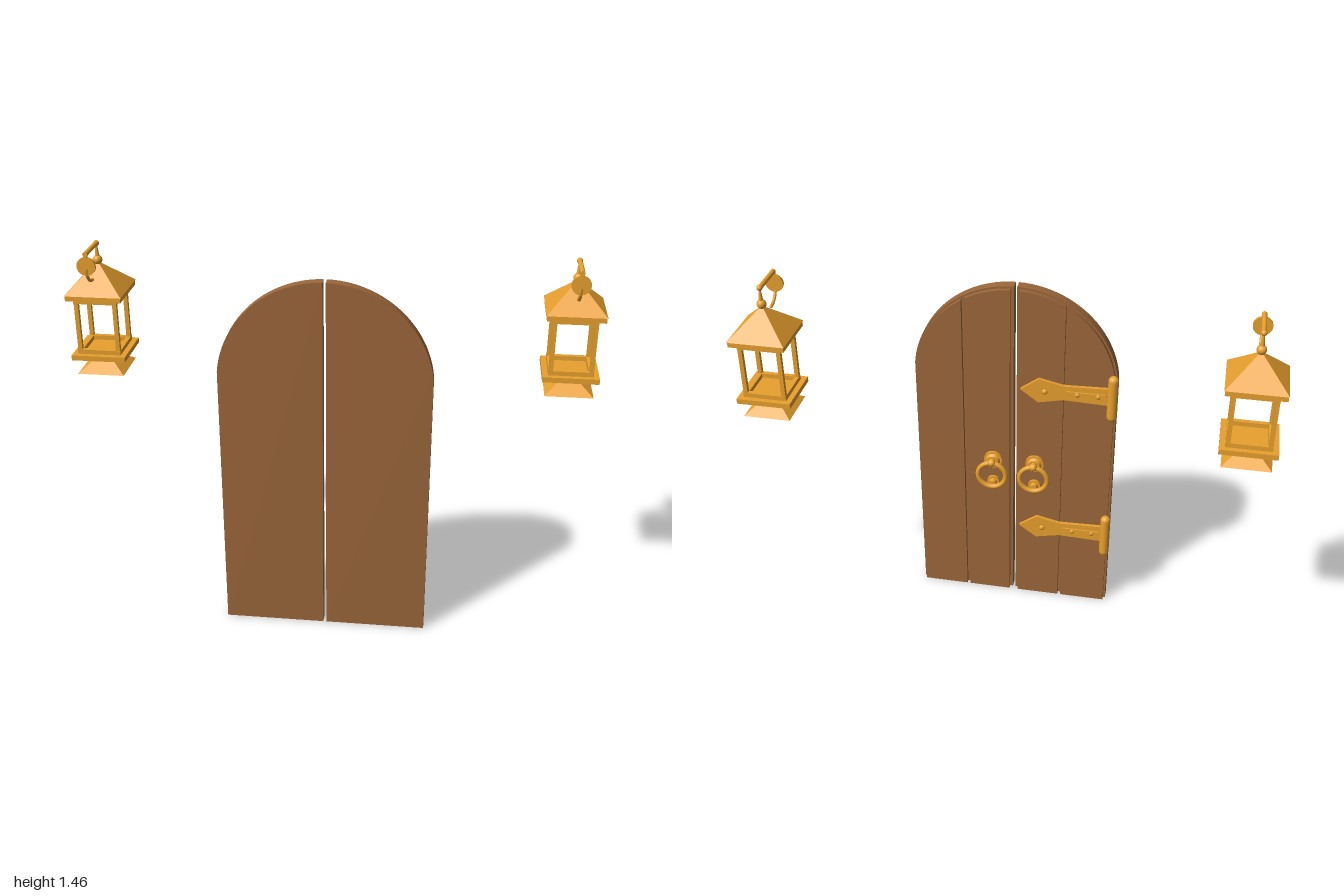
import * as THREE from 'three';

const wood = new THREE.MeshStandardMaterial({ color: 0x9c673b });
const brass = new THREE.MeshStandardMaterial({ color: 0xe8a02e });
const brassFlat = new THREE.MeshStandardMaterial({ color: 0xe8a02e, flatShading: true });

function add(parent, name, geometry, material, x = 0, y = 0, z = 0) {
  const mesh = new THREE.Mesh(geometry, material);
  mesh.name = name;
  mesh.position.set(x, y, z);
  parent.add(mesh);
  return mesh;
}

const box = (w, h, d) => new THREE.BoxGeometry(w, h, d);
const ball = (r) => new THREE.SphereGeometry(r, 20, 14);
// Round part with its axis along z
const disc = (r1, r2, depth) => new THREE.CylinderGeometry(r1, r2, depth, 28).rotateX(Math.PI / 2);
// Square pyramid, given half widths at top and bottom
const pyramid = (top, bottom, h) =>
  new THREE.CylinderGeometry(top * Math.SQRT2, bottom * Math.SQRT2, h, 4).rotateY(Math.PI / 4);

// Vertical board from x0 to x1 whose top follows the door arch
function archBoard(x0, x1, radius, depth) {
  const centreY = 1.03, steps = 28;
  const shape = new THREE.Shape();
  shape.moveTo(x0, 0);
  shape.lineTo(x1, 0);
  const a0 = Math.acos(x1 / radius), a1 = Math.acos(x0 / radius);
  for (let i = 0; i <= steps; i++) {
    const a = a0 + (a1 - a0) * i / steps;
    shape.lineTo(radius * Math.cos(a), centreY + radius * Math.sin(a));
  }
  shape.closePath();
  return new THREE.ExtrudeGeometry(shape, { depth, bevelEnabled: false });
}

// One door leaf: arched slab with two raised planks on the back
function doorLeaf(side) {
  const leaf = new THREE.Group();
  leaf.name = side > 0 ? 'leftDoorLeaf' : 'rightDoorLeaf';
  const board = (name, a, b, r, z, d) =>
    add(leaf, name, archBoard(Math.min(a * side, b * side), Math.max(a * side, b * side), r, d), wood, 0, 0, z);
  board('doorSlab', 0.006, 0.393, 0.395, 0.152, 0.04);
  board('innerPlank', 0.018, 0.19, 0.387, 0.135, 0.017);
  board('outerPlank', 0.203, 0.385, 0.387, 0.135, 0.017);
  return leaf;
}

// Ring pull with its upper boss and lower striking plate
function knocker(x) {
  const g = new THREE.Group();
  g.name = 'ringPull';
  add(g, 'boss', disc(0.037, 0.037, 0.01), brass, 0, 0.668, 0.13);
  add(g, 'bossStep', disc(0.03, 0.022, 0.012), brass, 0, 0.668, 0.12);
  add(g, 'stem', disc(0.011, 0.011, 0.026), brass, 0, 0.672, 0.106);
  add(g, 'bossBall', ball(0.016), brass, 0, 0.672, 0.098);
  add(g, 'ring', new THREE.TorusGeometry(0.056, 0.01, 12, 40), brass, 0, 0.613, 0.099);
  add(g, 'strikeBase', disc(0.025, 0.025, 0.01), brass, 0, 0.563, 0.13);
  add(g, 'strikeStud', disc(0.016, 0.012, 0.016), brass, 0, 0.563, 0.118);
  g.position.x = x;
  return g;
}

// Spear-shaped strap hinge with barrel and rivets
function hinge(y) {
  const g = new THREE.Group();
  g.name = 'strapHinge';
  const half = [[-0.025, 0], [-0.095, 0.051], [-0.19, 0.03], [-0.375, 0.036]];
  const outline = [...half, ...half.slice(1).reverse().map(([x, v]) => [x, -v])];
  const strap = new THREE.Shape(outline.map(([x, v]) => new THREE.Vector2(x, v)));
  add(g, 'strap', new THREE.ExtrudeGeometry(strap, { depth: 0.015, bevelEnabled: false }), brass, 0, 0, 0.121);
  add(g, 'strapRib', box(0.15, 0.024, 0.008), brass, -0.28, 0, 0.119);
  for (const x of [-0.12, -0.245, -0.325]) {
    const rivet = add(g, 'rivet', ball(0.011), brass, x, 0, 0.119);
    rivet.scale.z = 0.7;
  }
  add(g, 'barrel', new THREE.CapsuleGeometry(0.02, 0.155, 8, 20), brass, -0.38, 0, 0.116);
  g.position.y = y;
  return g;
}

// Open square lantern hanging from a scrolled wall bracket
function lantern(x) {
  const g = new THREE.Group();
  g.name = 'lantern';

  // Bracket: local z = 0 is the lantern axis
  add(g, 'wallDisc', disc(0.035, 0.035, 0.01), brass, 0, 1.405, 0.138);
  add(g, 'bracketUpright', box(0.014, 0.06, 0.01), brass, 0, 1.425, 0.138);
  add(g, 'bracketBar', disc(0.009, 0.009, 0.145), brass, 0, 1.45, 0.07);
  add(g, 'bracketTip', ball(0.011), brass, 0, 1.45, 0);
  const arc = [];
  for (let i = 0; i <= 8; i++) {
    const a = i / 8 * Math.PI / 2;
    arc.push(new THREE.Vector3(0, 1.395 - 0.06 * Math.sin(a), 0.08 + 0.062 * Math.cos(a)));
  }
  add(g, 'bracketScroll', new THREE.TubeGeometry(new THREE.CatmullRomCurve3(arc), 20, 0.006, 10), brass);
  add(g, 'scrollEnd', ball(0.006), brass, 0, 1.335, 0.08);

  // Hanger and roof
  add(g, 'hangerRod', new THREE.CylinderGeometry(0.003, 0.009, 0.05, 14), brass, 0, 1.42);
  add(g, 'roofBall', ball(0.018), brass, 0, 1.386);
  add(g, 'roof', pyramid(0.005, 0.109, 0.101), brassFlat, 0, 1.3245);
  add(g, 'eaves', box(0.212, 0.02, 0.212), brass, 0, 1.264);

  // Cage: four posts with a ring of rails above and below
  for (const sx of [-1, 1]) for (const sz of [-1, 1])
    add(g, 'post', box(0.016, 0.22, 0.016), brass, sx * 0.074, 1.144, sz * 0.074);
  for (const y of [1.245, 1.042]) for (const s of [-1, 1]) {
    add(g, 'railAcross', box(0.166, 0.018, 0.018), brass, 0, y, s * 0.074);
    add(g, 'railAlong', box(0.018, 0.018, 0.166), brass, s * 0.074, y, 0);
  }

  // Base and lower finial
  add(g, 'base', box(0.208, 0.02, 0.208), brass, 0, 1.024);
  add(g, 'lowerSkirt', pyramid(0.004, 0.09, 0.066), brassFlat, 0, 0.985);
  add(g, 'finial', ball(0.016), brass, 0, 0.942);

  g.position.set(x, 0, -0.081);
  return g;
}

export function createModel() {
  const model = new THREE.Group();
  model.name = 'archedDoorWithLanterns';
  for (const side of [-1, 1])
    model.add(doorLeaf(side), knocker(side * 0.084), lantern(side * 0.89));
  for (const y of [1.012, 0.36]) model.add(hinge(y));
  return model;
}
